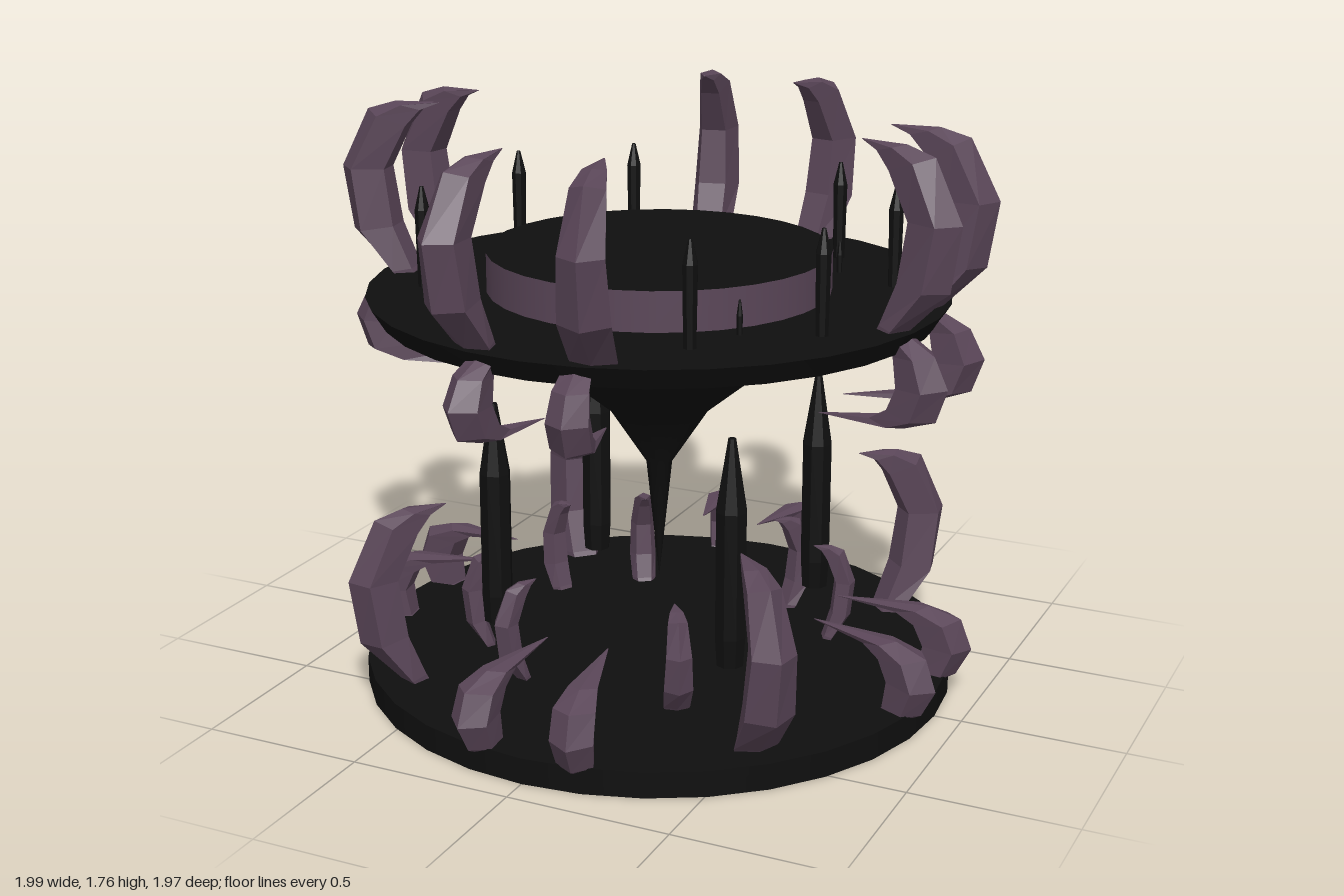
import * as THREE from 'three';
import { toCreasedNormals } from 'three/addons/utils/BufferGeometryUtils.js';

const dark = new THREE.MeshStandardMaterial({ color: 0x0f0f0f });
const darkFlat = new THREE.MeshStandardMaterial({ color: 0x0f0f0f, flatShading: true });
const purple = new THREE.MeshStandardMaterial({ color: 0x5a4658 });
const clawMat = new THREE.MeshStandardMaterial({ color: 0x5a4658, flatShading: true });

// Claw stations: outer radius, outer height, inner radius, inner height, half width
const LARGE = [
  [0.82, -0.05, 0.75, -0.04, 0.05],
  [0.86, 0, 0.78, 0.01, 0.068],
  [0.98, 0.12, 0.835, 0.14, 0.075],
  [1.01, 0.315, 0.86, 0.315, 0.066],
  [0.92, 0.495, 0.79, 0.45, 0.05],
  [0.83, 0.522, 0.745, 0.5, 0.034],
  [0.69, 0.524, 0.688, 0.522, 0.002],
];
const SMALL = [
  [0.85, -0.02, 0.79, -0.01, 0.045],
  [0.94, 0.03, 0.825, 0.04, 0.058],
  [0.985, 0.12, 0.84, 0.13, 0.068],
  [0.95, 0.22, 0.81, 0.2, 0.066],
  [0.85, 0.255, 0.75, 0.235, 0.045],
  [0.57, 0.26, 0.568, 0.258, 0.002],
];

// Five-sided claw curling in the local yz plane, pointing out along +z
function clawGeometry(stations) {
  const pos = [], index = [], n = 5;
  for (const [ro, yo, ri, yi, w] of stations) {
    for (const [x, t] of [[0, 0], [1, 0.35], [0.6, 1], [-0.6, 1], [-1, 0.35]]) {
      pos.push(x * w, yo + (yi - yo) * t, ro + (ri - ro) * t);
    }
  }
  const last = (stations.length - 1) * n;
  for (let s = 0; s < last; s += n) {
    for (let i = 0; i < n; i++) {
      const a = s + i, b = s + (i + 1) % n;
      index.push(a, b, b + n, a, b + n, a + n);
    }
  }
  for (let i = 1; i < n - 1; i++) {
    index.push(0, i + 1, i, last, last + i, last + i + 1);
  }
  const g = new THREE.BufferGeometry();
  g.setAttribute('position', new THREE.Float32BufferAttribute(pos, 3));
  g.setIndex(index);
  g.computeVertexNormals();
  return g;
}

// Shrinks a claw's reach while placing its outermost bulge at a new radius
const resize = (stations, bulge, kr, k) => stations.map(([ro, yo, ri, yi, w]) =>
  [bulge + (ro - 1) * kr, yo * k, bulge + (ri - 1) * kr, yi * k, w * k]);

function lathe(points, sides) {
  return new THREE.LatheGeometry(points.map(([r, y]) => new THREE.Vector2(r, y)), sides);
}

export function createModel() {
  const model = new THREE.Group();
  const add = (name, geometry, material, x = 0, y = 0, z = 0, parent = model) => {
    const m = new THREE.Mesh(geometry, material);
    m.name = name;
    m.position.set(x, y, z);
    parent.add(m);
    return m;
  };
  const group = (name) => {
    const g = new THREE.Group();
    g.name = name;
    model.add(g);
    return g;
  };

  // Base disc, funnel-shaped upper dish and raised platform
  add('baseDisc', new THREE.CylinderGeometry(0.915, 0.915, 0.08, 32), dark, 0, 0.04, 0);
  const dish = lathe([[0, 0.3], [0.04, 0.68], [0.155, 0.855], [0.37, 1.03],
    [0.84, 1.17], [0.88, 1.235], [0, 1.235]], 32);
  add('upperDish', toCreasedNormals(dish, 0.6), dark);
  add('platformBand', new THREE.CylinderGeometry(0.52, 0.52, 0.12, 32, 1, true), purple, 0, 1.295, 0);
  const top = new THREE.CircleGeometry(0.52, 32);
  top.rotateX(-Math.PI / 2);
  add('platformTop', top, dark, 0, 1.355, 0);

  // Pillars and spikes, mirrored into the four quadrants
  const pillar = lathe([[0, 0.21], [0.042, 0.21], [0.048, 0.3], [0.048, 0.69], [0.012, 0.91], [0, 0.91]], 8);
  const spike = lathe([[0, 1.22], [0.019, 1.22], [0.023, 1.47], [0.006, 1.54], [0, 1.54]], 8);
  const smallSpike = lathe([[0, 1.22], [0.008, 1.22], [0.009, 1.29], [0.003, 1.335], [0, 1.335]], 6);
  const pillars = group('pillars'), spikes = group('spikes');
  for (const sx of [-1, 1]) {
    for (const sz of [-1, 1]) {
      add('pillar', pillar, darkFlat, sx * 0.39, 0, sz * 0.34, pillars);
      add('spike', spike, darkFlat, sx * 0.64, 0, sz * 0.3, spikes);
      add('spike', spike, darkFlat, sx * 0.36, 0, sz * 0.57, spikes);
      add('smallSpike', smallSpike, darkFlat, sx * 0.43, 0, sz * 0.39, spikes);
    }
  }

  // Claws: each angle from +z (degrees) is mirrored into all quadrants
  const claws = (name, stations, y, angles, hanging = false) => {
    const g = group(name + 's');
    const geometry = clawGeometry(stations);
    for (const a of angles) {
      for (const q of [a, -a, 180 - a, 180 + a]) {
        const m = add(name, geometry, clawMat, 0, y, 0, g);
        m.rotation.set(0, THREE.MathUtils.degToRad(q), hanging ? Math.PI : 0);
      }
    }
  };
  claws('upperClaw', LARGE, 1.237, [13, 80]);
  claws('hangingClawSide', SMALL, 1.2, [80], true);
  claws('hangingClawFront', resize(SMALL, 1, 1, 0.9), 1.2, [10], true);
  claws('baseSmallClaw', resize(SMALL, 1, 1, 0.95), 0.045, [10, 80]);
  claws('baseLargeClaw', resize(LARGE, 0.975, 0.95, 1.03), 0.085, [45]);
  claws('innerClawSide', resize(LARGE, 0.615, 0.42, 0.58), 0.085, [62]);
  claws('innerClawFront', resize(LARGE, 0.59, 0.46, 0.58), 0.085, [31]);

  return model;
}
